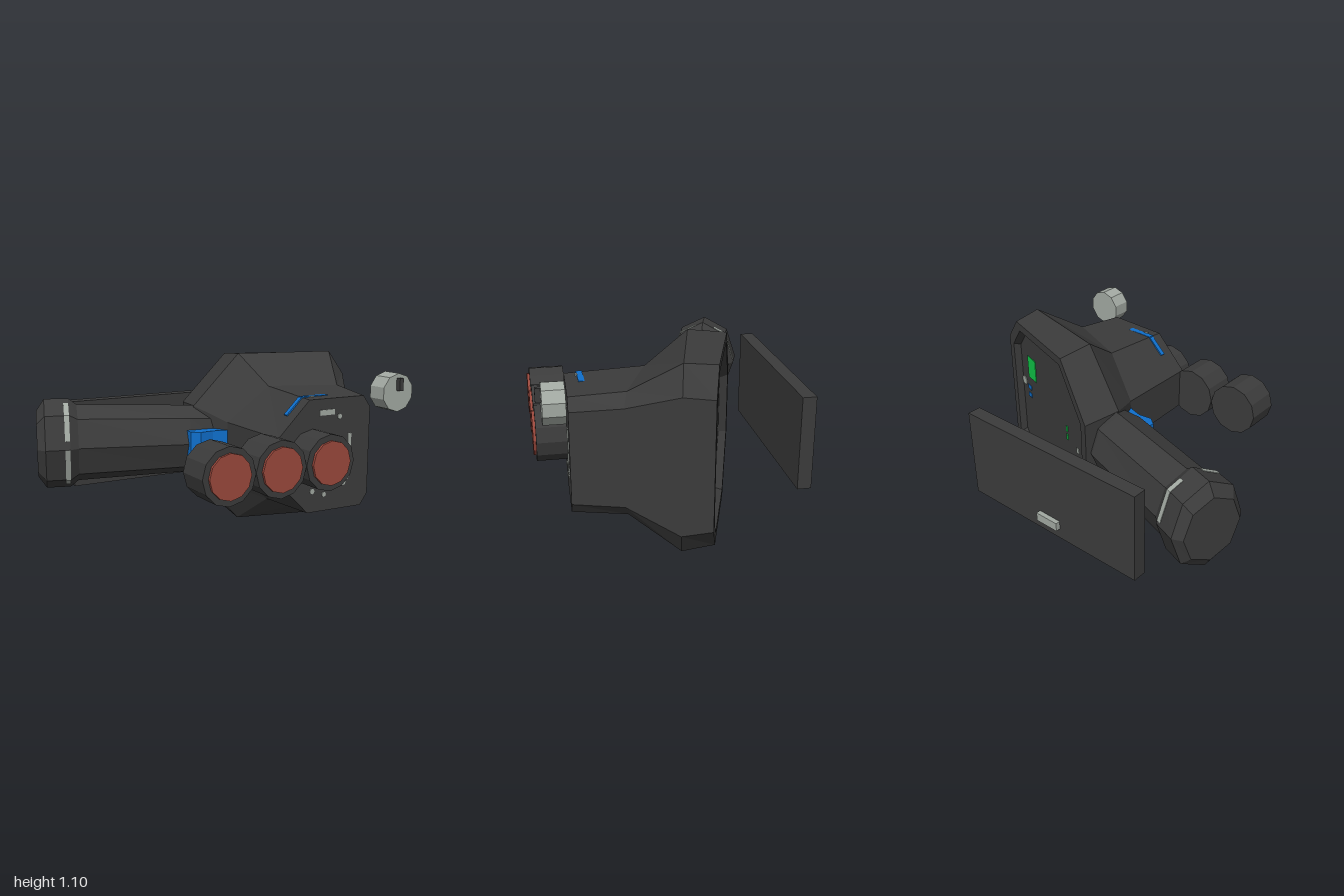
import * as THREE from 'three';

const mat = (name, color) => {
  const m = new THREE.MeshStandardMaterial({ color });
  m.name = name;
  m.flatShading = true;
  return m;
};
const V = (x, y, z) => new THREE.Vector3(x, y, z);

// Joins rings of equal length with flat faces and closes both ends.
function loft(rings) {
  const pos = [];
  const tri = (...pts) => pts.forEach(p => pos.push(p.x, p.y, p.z));
  const n = rings[0].length;
  for (let i = 0; i < rings.length - 1; i++) {
    for (let j = 0; j < n; j++) {
      const k = (j + 1) % n;
      const a = rings[i][j], b = rings[i][k], c = rings[i + 1][k], d = rings[i + 1][j];
      tri(a, d, b);
      tri(b, d, c);
    }
  }
  const first = rings[0], last = rings[rings.length - 1];
  for (let j = 1; j < n - 1; j++) {
    tri(first[0], first[j], first[j + 1]);
    tri(last[0], last[j + 1], last[j]);
  }
  const g = new THREE.BufferGeometry();
  g.setAttribute('position', new THREE.Float32BufferAttribute(pos, 3));
  g.computeVertexNormals();
  return g;
}

export function createModel() {
  const root = new THREE.Group();
  const dark = mat('charcoal', 0x3b3b3b);
  const red = mat('lensRed', 0x9a483c);
  const grey = mat('paleGrey', 0xa2a9a2);
  const blue = mat('blue', 0x0f6fcc);
  const green = mat('green', 0x10c848);

  const add = (name, geo, m, parent = root, x = 0, y = 0, z = 0) => {
    const mesh = new THREE.Mesh(geo, m);
    mesh.name = name;
    mesh.position.set(x, y, z);
    parent.add(mesh);
    return mesh;
  };
  const box = (name, m, x, y, z, w, h, d, parent) =>
    add(name, new THREE.BoxGeometry(w, h, d), m, parent, x, y, z);
  const disc = (name, m, x, y, z, r, d, sides, parent) =>
    add(name, new THREE.CylinderGeometry(r, r, d, sides).rotateX(Math.PI / 2), m, parent, x, y, z);

  // Body: eight-cornered sections, symmetric about y = 0.55, from front to back.
  // x: left, left corner, right corner, right; hSide / hRight / hTop: half heights
  const section = ([x0, x1, x2, x3], hSide, hRight, hTop, zOf) => [
    [x0, -hSide], [x1, -hTop], [x2, -hTop], [x3, -hRight],
    [x3, hRight], [x2, hTop], [x1, hTop], [x0, hSide],
  ].map(([x, h]) => V(x, 0.55 + h, zOf(x)));
  const faceZ = x => 0.61 + 0.03 * (x - 0.11);
  const backZ = x => -0.43 + 0.33 * (x - 0.03);
  const back = section([0.03, 0.3, 0.88, 1], 0.21, 0.38, 0.53, backZ);
  const inset = (sx, sy, d) => back.map(p => {
    const x = 0.515 + (p.x - 0.515) * sx;
    return V(x, 0.55 + (p.y - 0.55) * sy, backZ(x) + d);
  });
  add('body', loft([
    section([0.1, 0.31, 0.7, 0.75], 0.13, 0.27, 0.34, faceZ),
    section([0.09, 0.33, 0.74, 0.8], 0.14, 0.29, 0.365, x => 0.02 + 0.4 * x),
    section([-0.02, 0.27, 0.88, 0.98], 0.22, 0.4, 0.55, x => -0.18 + 0.25 * x),
    back,
    inset(0.89, 0.905, 0),   // rim
    inset(0.85, 0.86, 0.05), // sunk floor
  ]), dark);

  // Arm: octagonal tube with a flared tip
  const u = V(0.95, 0, 0.314), v = V(-0.314, 0, 0.95), tip = V(-0.96, 0.555, -0.515);
  const armPoint = (s, w, h, k) => tip.clone().addScaledVector(u, s)
    .addScaledVector(v, w * Math.cos(k * Math.PI / 4))
    .add(V(0, h * Math.sin(k * Math.PI / 4), 0));
  const armRing = (s, w, h) => Array.from({ length: 8 }, (_, k) => armPoint(s, w, h, k));
  add('arm', loft([
    armRing(0, 0.185, 0.21), armRing(0.05, 0.23, 0.285), armRing(0.2, 0.225, 0.285),
    armRing(0.25, 0.195, 0.245), armRing(0.95, 0.2, 0.22), armRing(1.15, 0.15, 0.2),
  ]), dark);

  // Worn strips on the flared tip: side number and the covered part of that side
  const worn = [[0, 0.25, 1], [1, 0, 0.7], [7, 0, 1], [6, 0.45, 1], [2, 0.5, 1], [3, 0, 0.9]];
  for (const [k, f0, f1] of worn) {
    const strip = (s, r) => {
      const a = armPoint(s, 0.227 * r, 0.285 * r, k), b = armPoint(s, 0.227 * r, 0.285 * r, k + 1);
      return [a.clone().lerp(b, f0), a.clone().lerp(b, f1)];
    };
    const ring = s => {
      const [a, b] = strip(s, 1.012), [c, d] = strip(s, 0.99);
      return [a, b, d, c];
    };
    add('wornStrip', loft([ring(0.168), ring(0.198)]), grey);
  }

  // Three lamps
  for (const x of [-0.335, 0, 0.335]) {
    const lamp = new THREE.Group();
    lamp.name = 'lamp';
    lamp.position.set(x, 0.55, 0);
    root.add(lamp);
    disc('lampHousing', dark, 0, 0, 0.688, 0.167, 0.215, 12, lamp);
    disc('lampLens', red, 0, 0, 0.803, 0.131, 0.016, 12, lamp);
  }

  // Knob with pointer
  disc('knob', grey, 0.84, 0.915, 0.71, 0.115, 0.12, 10);
  box('knobPointer', dark, 0.84, 0.965, 0.785, 0.028, 0.075, 0.03);

  // Rear panel with handle
  box('rearPanel', dark, 0, 0.488, -0.743, 1.3, 0.575, 0.085);
  box('panelHandle', grey, 0, 0.297, -0.8, 0.16, 0.055, 0.03);

  // Blue block in the corner between arm and body
  const block = new THREE.Shape([[-0.13, 0.09], [-0.14, 0], [-0.09, -0.04], [0, -0.03], [0.1, -0.06], [0.1, 0.09]]
    .map(p => new THREE.Vector2(...p)));
  add('cornerBlock', new THREE.ExtrudeGeometry(block, { depth: 0.18, bevelEnabled: false })
    .rotateX(-Math.PI / 2), blue, root, 0, 0.46, 0);

  // Marks on the front face
  const mark = (x, y, w, h) => box('frontMark', grey, x, y, faceZ(x) + 0.001, w, h, 0.008);
  mark(0.435, 0.808, 0.11, 0.032);
  mark(0.602, 0.56, 0.024, 0.22);
  for (const [x, y, r] of [[0.525, 0.778, 0.016], [0.585, 0.405, 0.02], [0.565, 0.37, 0.018],
    [0.34, 0.34, 0.017], [0.425, 0.312, 0.015]]) {
    disc('frontDot', grey, x, y, faceZ(x) + 0.001, r, 0.008, 8);
  }

  // Paint splash over the top edge
  box('topSplash', blue, 0.4, 0.895, 0.53, 0.18, 0.009, 0.035);
  box('slopeSplash', blue, 0.257, 0.844, 0.525, 0.14, 0.009, 0.03).rotation.z = 0.76;
  box('splashDot', grey, 0.37, 0.898, 0.55, 0.025, 0.008, 0.015);

  // Details on the sunk back floor
  const floor = new THREE.Group();
  floor.name = 'backDetails';
  floor.position.set(0.5, 0, backZ(0.5) + 0.05);
  floor.rotation.y = -Math.atan(0.33);
  root.add(floor);
  const plate = (name, m, x, y, w, h) => box(name, m, (x - 0.5) / 0.95, y, 0, w, h, 0.008, floor);
  plate('greenScreen', green, 0.78, 0.76, 0.11, 0.155);
  plate('greenMark', green, 0.33, 0.55, 0.018, 0.04);
  plate('greenMark', green, 0.33, 0.49, 0.018, 0.04);
  plate('greenMark', green, 0.33, 0.31, 0.018, 0.03);
  plate('blueMark', blue, 0.83, 0.6, 0.05, 0.03);
  plate('blueMark', blue, 0.83, 0.54, 0.045, 0.03);
  plate('greyMark', grey, 0.2, 0.46, 0.03, 0.035);
  disc('greyButton', grey, 0.4 / 0.95, 0.62, 0, 0.032, 0.009, 10, floor);

  return root;
}
